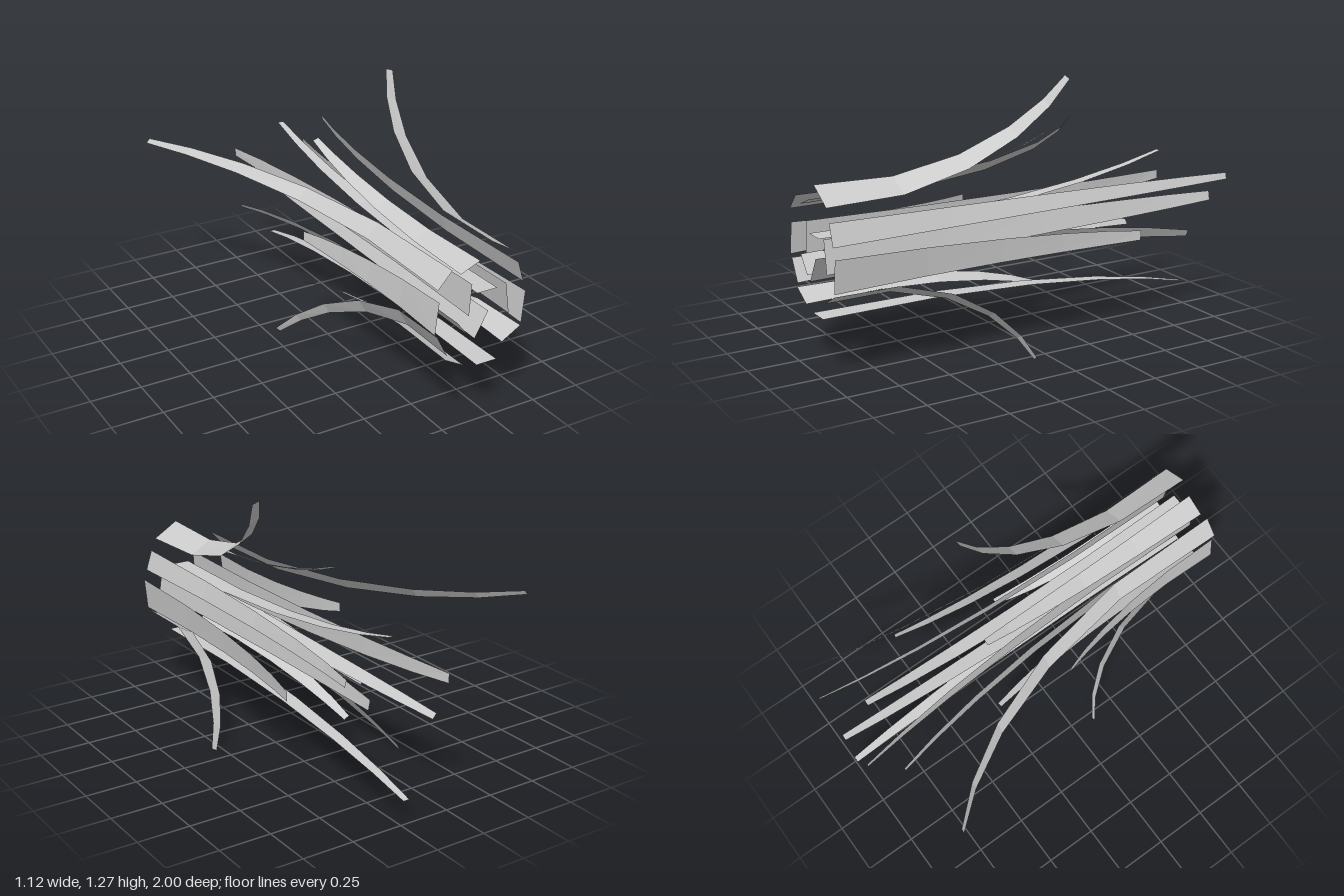
import * as THREE from 'three';

const material = new THREE.MeshStandardMaterial({ color: 0xcccccc, flatShading: true, side: THREE.DoubleSide });

// relative segment lengths from root to tip
const LENGTHS = [0.29, 0.25, 0.2, 0.15, 0.11];

// [root corner a, root corner b, tip corner a, tip corner b, tip z]; corners are x, y
const BLADES = [
  // outer ring
  [[0.22, 0.87], [0.343, 0.795], [0.412, 1.27], [0.45, 1.257], -0.15],
  [[-0.05, 0.705], [0.02, 0.782], [-0.56, 0.845], [-0.543, 0.866], -0.84],
  [[0.40, 0.418], [0.302, 0.362], [0.558, 0.018], [0.532, 0.003], 0.08],
  [[-0.045, 0.48], [0.01, 0.375], [-0.333, 0.167], [-0.31, 0.145], 0.08],
  [[0.064, 0.752], [0.163, 0.793], [0.068, 0.93], [0.098, 0.94], -0.26],
  [[0.368, 0.735], [0.40, 0.635], [0.54, 0.744], [0.548, 0.713], -1],
  [[0.416, 0.585], [0.402, 0.43], [0.516, 0.518], [0.516, 0.472], -0.52],
  [[0.17, 0.283], [0.277, 0.283], [0.207, 0.115], [0.238, 0.115], -1],
  [[0.003, 0.355], [0.10, 0.302], [0.0, 0.178], [0.028, 0.163], -0.26],
  [[-0.04, 0.645], [-0.058, 0.493], [-0.16, 0.622], [-0.162, 0.577], 0.05],
  // inner ring
  [[0.155, 0.64], [0.26, 0.64], [0.192, 0.81], [0.222, 0.81], -0.85],
  [[0.307, 0.65], [0.33, 0.497], [0.421, 0.628], [0.43, 0.583], -1],
  [[0.218, 0.54], [0.152, 0.42], [0.28, 0.394], [0.26, 0.357], -1],
  [[0.126, 0.69], [0.116, 0.54], [0.01, 0.65], [0.012, 0.605], -1],
  [[0.057, 0.523], [0.121, 0.442], [-0.05, 0.397], [-0.03, 0.372], -0.85],
];

// A flat tapering strip whose segments turn outward by an equal angle each
function bladeGeometry([a, b, tipA, tipB, tipZ]) {
  const [ra, rb, ta, tb] = [a, b, tipA, tipB].map((p) => new THREE.Vector2(...p));
  const rootMid = ra.clone().add(rb).multiplyScalar(0.5);
  const tipMid = ta.clone().add(tb).multiplyScalar(0.5);
  const turn = 0.62 * Math.atan(rootMid.distanceTo(tipMid) / (1 - tipZ));

  // bend path: distance along z and sideways offset
  const path = [[0, 0]];
  LENGTHS.forEach((len, i) => {
    const [along, out] = path[i];
    path.push([along + len * Math.cos(i * turn), out + len * Math.sin(i * turn)]);
  });
  const [endAlong, endOut] = path[path.length - 1];

  const positions = [];
  const indices = [];
  path.forEach(([along, out], i) => {
    const mid = rootMid.clone().lerp(tipMid, out / endOut);
    const z = THREE.MathUtils.lerp(1, tipZ, along / endAlong);
    const half = rb.clone().sub(ra).lerp(tb.clone().sub(ta), i / LENGTHS.length).multiplyScalar(0.5);
    positions.push(mid.x - half.x, mid.y - half.y, z, mid.x + half.x, mid.y + half.y, z);
    if (i > 0) {
      const k = 2 * i;
      indices.push(k - 2, k - 1, k, k - 1, k + 1, k);
    }
  });

  const geometry = new THREE.BufferGeometry();
  geometry.setAttribute('position', new THREE.Float32BufferAttribute(positions, 3));
  geometry.setIndex(indices);
  geometry.computeVertexNormals();
  return geometry;
}

export function createModel() {
  const group = new THREE.Group();
  group.name = 'grassTuft';
  BLADES.forEach((blade, i) => {
    const mesh = new THREE.Mesh(bladeGeometry(blade), material);
    mesh.name = `grassBlade${i + 1}`;
    group.add(mesh);
  });
  return group;
}
